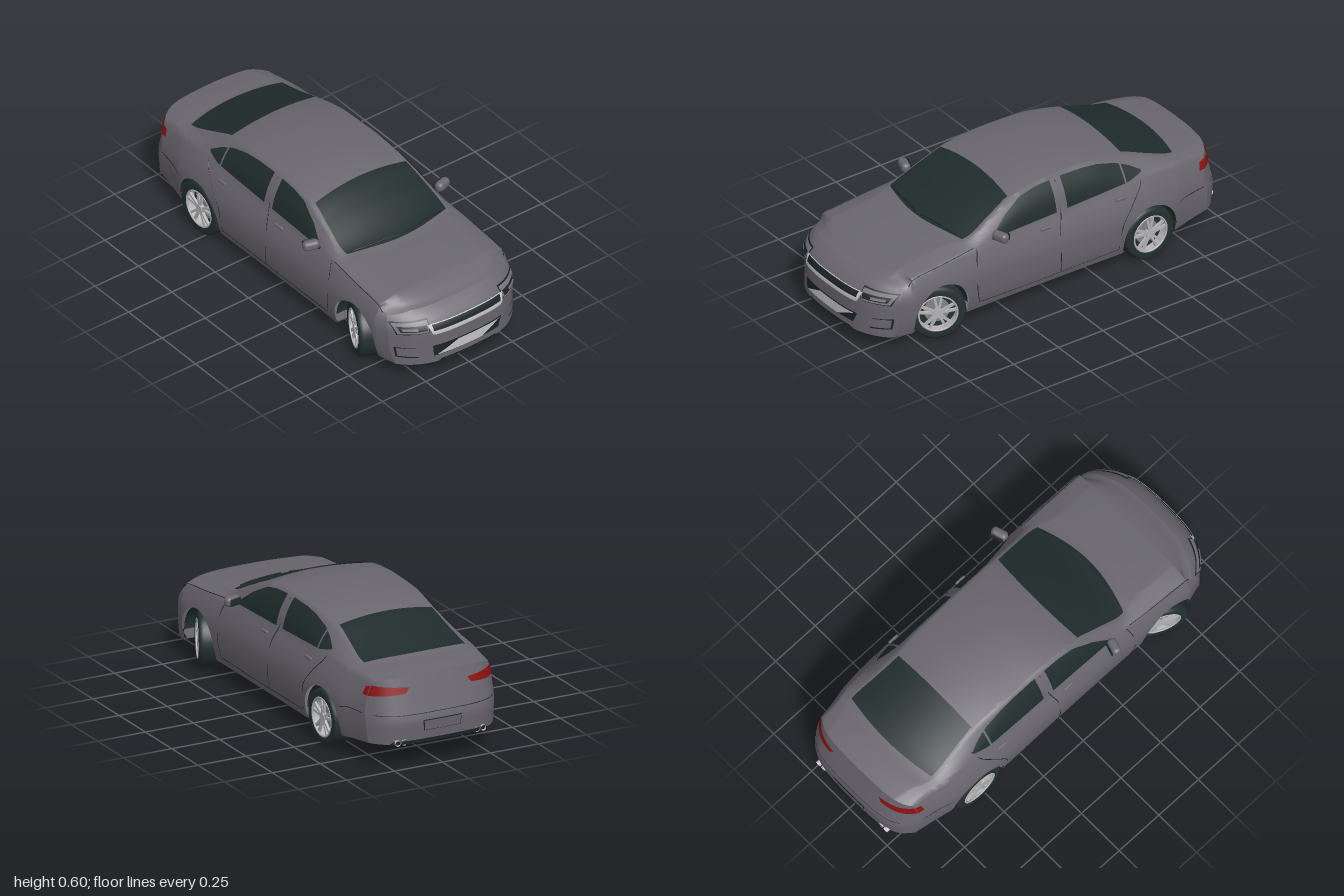
import * as THREE from 'three';
import { mergeGeometries, mergeVertices, toCreasedNormals } from 'three/addons/utils/BufferGeometryUtils.js';
import { RoundedBoxGeometry } from 'three/addons/geometries/RoundedBoxGeometry.js';

const V = (x, y, z) => new THREE.Vector3(x, y, z);
const lerp = THREE.MathUtils.lerp;
const mat = (name, color) => Object.assign(new THREE.MeshStandardMaterial({ color, side: THREE.DoubleSide }), { name });
const paint = mat('body paint', 0x69666e), glass = mat('tinted glass', 0x1f2c2b), rubber = mat('rubber', 0x23302f);
const chrome = mat('bright trim', 0xc4c4c6), alloy = mat('alloy', 0xb4b4b6), red = mat('tail light red', 0x8c1012);
const trim = mat('dark trim', 0x1c2425), metal = mat('underbody metal', 0x85848a), lens = mat('lamp lens', 0x77767d);

// Body stations: position, half width, belt y, belt x, roof rail y, rail x, centre top y
const ST = [
  [1, .36, .318, .345, .337, .25, .342], [.9, .375, .338, .35, .362, .26, .368], [.79, .385, .358, .352, .383, .26, .389],
  [.6, .387, .378, .35, .408, .26, .416], [.52, .386, .388, .347, .415, .27, .426], [.44, .384, .396, .343, .42, .3, .452],
  [.3, .382, .402, .34, .487, .288, .517], [.17, .382, .405, .337, .545, .272, .567], [0, .382, .408, .335, .57, .265, .597],
  [-.15, .383, .411, .335, .572, .262, .6], [-.3, .385, .415, .335, .563, .26, .588], [-.46, .386, .42, .335, .53, .253, .558],
  [-.6, .38, .424, .328, .478, .265, .512], [-.7, .37, .424, .318, .445, .275, .478], [-.78, .362, .424, .31, .436, .27, .453],
  [-.88, .35, .42, .3, .435, .24, .445], [-1, .335, .405, .3, .425, .22, .432]];
const AXLES = [.636, -.535], ARCH = .15, HUB = .135;

function station(s) {
  let i = 0;
  while (i < ST.length - 2 && s < ST[i + 1][0]) i++;
  const h = ST[i + 1][0] - ST[i][0], t = (s - ST[i][0]) / h;
  const slope = (k, c) => {
    const a = ST[Math.max(k - 1, 0)], b = ST[Math.min(k + 1, ST.length - 1)];
    return (b[c] - a[c]) / (b[0] - a[0]);
  };
  const [w, yb, wb, yr, wr, yt] = [1, 2, 3, 4, 5, 6].map(c =>
    (2 * t ** 3 - 3 * t * t + 1) * ST[i][c] + (t ** 3 - 2 * t * t + t) * h * slope(i, c) +
    (3 * t * t - 2 * t ** 3) * ST[i + 1][c] + (t ** 3 - t * t) * h * slope(i + 1, c));
  return { w, yb, wb, yr, wr, yt };
}
// Half width of the body at a station and height, below or above the belt line
function bodyX(s, y) {
  const p = station(s);
  if (y > p.yb) {
    const t = Math.min(1, (y - p.yb) / (p.yr - p.yb));
    return lerp(p.wb, p.wr, t) + .012 * Math.sin(Math.PI * t) * Math.min(1, (p.yr - p.yb) / .15);
  }
  if (y > .25) return p.w - (p.w - p.wb) * ((y - .25) / (p.yb - .25)) ** 1.7;
  return p.w * (1 - .06 * ((.25 - y) / .17) ** 2.5);
}
function topY(s, x) {
  const p = station(s);
  return p.yr + (p.yt - p.yr) * (1 - (x / p.wr) ** 2);
}
// The ends are bowed in plan and leaned in profile
function bodyZ(s, x, y) {
  if (s > .79) {
    const q = Math.abs(x) / .36, l = THREE.MathUtils.clamp((y - .24) / .105, 0, 1);
    return s - (s - .79) / .21 * (.03 * q * q + .11 * q ** 4 + .09 * l * l);
  }
  if (s < -.7) {
    const q = Math.abs(x) / .33, l = y > .22 ? (y - .22) * .26 : (.22 - y) * .1;
    return s + (-.7 - s) / .3 * (.02 * q * q + .09 * q ** 6 + l);
  }
  return s;
}
function lowY(s) {
  for (const c of AXLES) if (Math.abs(s - c) <= ARCH + 1e-6) return HUB + Math.sqrt(Math.max(0, ARCH ** 2 - (s - c) ** 2));
  return s > .7 ? .075 : s < -.6 ? .085 + (-.6 - s) * .075 : .08;
}
function halfRing(s) {
  const p = station(s), y0 = lowY(s), pts = [];
  for (let i = 0; i <= 12; i++) { const y = lerp(y0, p.yb, i / 12); pts.push([bodyX(s, y), y]); }
  for (let i = 1; i <= 7; i++) { const y = lerp(p.yb, p.yr, i / 7); pts.push([bodyX(s, y + 1e-7), y]); }
  for (let i = 1; i <= 12; i++) { const x = p.wr * Math.cos(i / 12 * Math.PI / 2); pts.push([x, topY(s, x)]); }
  return pts;
}
// Grid surface from a function of u and v
function patch(fn, nu, nv) {
  const pos = [], idx = [];
  for (let j = 0; j <= nv; j++) for (let i = 0; i <= nu; i++) pos.push(...fn(i / nu, j / nv).toArray());
  for (let j = 0; j < nv; j++) for (let i = 0; i < nu; i++) {
    const a = j * (nu + 1) + i, b = a + nu + 1;
    idx.push(a, a + 1, b, b, a + 1, b + 1);
  }
  const g = new THREE.BufferGeometry();
  g.setAttribute('position', new THREE.Float32BufferAttribute(pos, 3));
  g.setIndex(idx);
  g.computeVertexNormals();
  return g;
}
function bodyGeometry() {
  const stops = [];
  for (let i = 0; i <= 80; i++) { const s = 1 - i / 40; if (AXLES.every(c => Math.abs(s - c) > ARCH + .002)) stops.push(s); }
  for (const c of AXLES) {
    stops.push(c + ARCH + .0005, c - ARCH - .0005);
    for (let i = 0; i <= 24; i++) stops.push(c + ARCH * Math.cos(i / 24 * Math.PI));
  }
  stops.sort((a, b) => b - a);
  const rings = stops.map(halfRing), n = rings[0].length - 1;
  const shell = patch((u, v) => {
    const i = Math.round(v * (stops.length - 1)), k = Math.round(u * 2 * n), sx = k <= n ? 1 : -1;
    const [x, y] = rings[i][k <= n ? k : 2 * n - k];
    return V(sx * x, y, bodyZ(stops[i], x, y));
  }, 2 * n, stops.length - 1);
  const cap = (s, dir) => patch((u, v) => {
    const [rx, y] = halfRing(s)[Math.round(v * n)], x = rx * (2 * u - 1) * dir;
    return V(x, y, bodyZ(s, x, y));
  }, 36, n);
  const g = mergeGeometries([shell, cap(1, 1), cap(-1, -1)]);
  g.deleteAttribute('normal');
  return toCreasedNormals(mergeVertices(g, 1e-4), 1);
}

export function createModel() {
  const car = new THREE.Group();
  car.name = 'saloon car';
  const add = (name, geo, m, x = 0, y = 0, z = 0, parent = car) => {
    const o = new THREE.Mesh(geo, m);
    o.name = name; o.position.set(x, y, z); parent.add(o);
    return o;
  };
  add('bodyShell', bodyGeometry(), paint);

  // Windscreen and rear window
  const screen = (zb, bowB, zt, bowT) => patch((u, v) => {
    const a = 2 * u - 1, z = lerp(zb + bowB * a * a, zt + bowT * a * a, v), x = a * (station(z).wr - .012);
    return V(x, topY(z, x) + .005, z);
  }, 24, 20);
  add('windscreen', screen(.515, -.055, .175, .015), glass);
  add('rearWindow', screen(-.765, .03, -.46, 0), glass);

  // Front and rear details laid on the end faces; q is four corners [x, y]
  const onEnd = (name, q, m, off, end = 1, sides = [1, -1]) => sides.forEach(sx => add(name, patch((u, v) => {
    const c = k => lerp(lerp(q[0][k], q[1][k], u), lerp(q[3][k], q[2][k], u), v);
    const y = c(1), x = Math.min(c(0), bodyX(end, y) + .002);
    return V(sx * x, y, bodyZ(end, x, y) + end * off);
  }, 20, 6), m));
  onEnd('grille', [[-.2, .253], [.2, .253], [.195, .286], [-.195, .286]], trim, .005, 1, [1]);
  onEnd('grilleBar', [[-.19, .234], [.19, .234], [.205, .254], [-.205, .254]], chrome, .008, 1, [1]);
  onEnd('grilleEnd', [[.19, .237], [.2, .24], [.215, .286], [.195, .283]], chrome, .008);
  onEnd('grilleTopEdge', [[-.2, .283], [.2, .283], [.2, .287], [-.2, .287]], chrome, .007, 1, [1]);
  onEnd('headlightSurround', [[.212, .25], [.338, .244], [.352, .3], [.2, .31]], trim, .005);
  onEnd('headlightLens', [[.216, .254], [.335, .249], [.348, .296], [.207, .305]], lens, .008);
  onEnd('headlightInsert', [[.222, .263], [.325, .259], [.335, .284], [.216, .288]], trim, .011);
  onEnd('headlightLamp', [[.262, .267], [.32, .265], [.322, .277], [.26, .279]], lens, .014);
  onEnd('lowerIntake', [[-.192, .114], [.175, .118], [.197, .171], [-.197, .171]], trim, .005, 1, [1]);
  onEnd('intakePlate', [[-.18, .119], [.07, .119], [.18, .167], [-.065, .167]], chrome, .008, 1, [1]);
  onEnd('cornerIntakeBase', [[.262, .115], [.338, .12], [.34, .126], [.26, .122]], trim, .006);
  onEnd('cornerIntakeSide', [[.335, .12], [.341, .12], [.347, .175], [.34, .175]], trim, .006);
  onEnd('cornerIntakeTop', [[.27, .167], [.342, .17], [.344, .174], [.27, .17]], trim, .006);
  onEnd('lipSlot', [[-.17, .08], [.17, .08], [.15, .09], [-.15, .09]], trim, .005, 1, [1]);
  onEnd('tailLight', [[.17, .352], [.35, .338], [.35, .393], [.15, .378]], red, .005, -1);
  onEnd('rearLowerBand', [[-.26, .113], [.26, .113], [.24, .13], [-.24, .13]], trim, .005, -1, [1]);
  onEnd('bumperSeam', [[-.31, .252], [.31, .252], [.31, .255], [-.31, .255]], trim, .004, -1, [1]);
  onEnd('plateRecessEdge', [[-.095, .17], [.095, .17], [.1, .222], [-.1, .222]], trim, .004, -1, [1]);
  onEnd('plateRecess', [[-.091, .173], [.091, .173], [.096, .219], [-.096, .219]], paint, .007, -1, [1]);

  // Side window outline as curves of height along z
  const along = (pts, z) => {
    let i = 0;
    while (i < pts.length - 2 && z < pts[i + 1][0]) i++;
    return lerp(pts[i][1], pts[i + 1][1], (z - pts[i][0]) / (pts[i + 1][0] - pts[i][0]));
  };
  const head = [[.33, .412], [.24, .483], [.14, .537], [.06, .552], [0, .557], [-.1, .56], [-.22, .556], [-.3, .547], [-.4, .52], [-.47, .489], [-.525, .455]];
  const foot = [[.33, .406], [0, .413], [-.44, .43], [-.525, .45]];
  const wheelTyre = new THREE.LatheGeometry([[.093, -.045], [.12, -.048], [.131, -.04], [.135, -.025], [.135, .025], [.131, .04], [.12, .048], [.093, .045]]
    .map(p => new THREE.Vector2(...p)), 40).rotateZ(-Math.PI / 2);
  const drum = (r, w, open = false) => new THREE.CylinderGeometry(r, r, w, 32, 1, open).rotateZ(Math.PI / 2);
  const tube = (pts, r, n = 24) => new THREE.TubeGeometry(new THREE.CatmullRomCurve3(pts), n, r, 8);

  for (const sx of [1, -1]) {
    // Side glass
    for (const [name, z0, z1] of [['frontDoorWindow', .33, -.035], ['rearDoorWindow', -.095, -.42], ['quarterWindow', -.43, -.522]])
      add(name, patch((u, v) => {
        const z = lerp(z0, z1, u), y = lerp(along(foot, z), Math.min(along(head, z), station(z).yr - .006), v);
        return V(sx * (bodyX(z, y) + .004), y, z);
      }, 24, 8), glass);
    // Tail light wrapping on to the flank
    add('tailLightSide', patch((u, v) => {
      const s = lerp(-1, -.955, u), y = lerp(.34, .388 - u * .01, v), x = bodyX(s, y);
      return V(sx * (x + .004), y, bodyZ(s, x, y));
    }, 6, 6), red);
    // Shut lines
    const seam = (name, pts) => add(name, tube(pts.map(([z, y]) => { const x = bodyX(z, y); return V(sx * x, y, bodyZ(z, x, y)); }), .0018), trim);
    seam('frontDoorSeam', [[.42, .39], [.435, .33], [.44, .2], [.425, .12]]);
    seam('middleDoorSeam', [[-.065, .55], [-.06, .42], [-.035, .33], [-.03, .2], [-.035, .12]]);
    seam('rearDoorSeam', [[-.525, .46], [-.5, .4], [-.43, .32], [-.375, .24], [-.36, .12]]);
    seam('sillSeam', [[.42, .115], [.2, .11], [0, .11], [-.36, .115]]);
    seam('bumperSideSeam', [[-.69, .235], [-.8, .25], [-.98, .253]]);
    seam('bonnetSeam', [[.44, .395], [.6, .377], [.8, .352], [.94, .325]]);
    for (const [z, y] of [[.04, .365], [-.38, .372]])
      add('doorHandle', new RoundedBoxGeometry(.014, .014, .055, 2, .005), paint, sx * (bodyX(z, y) + .002), y, z);

    // Door mirror
    add('mirrorHousing', new RoundedBoxGeometry(.082, .048, .045, 4, .02), paint, sx * .379, .43, .31).rotation.y = sx * .3;
    add('mirrorGlass', new RoundedBoxGeometry(.066, .034, .006, 2, .002), glass, sx * .373, .43, .286).rotation.y = sx * .3;
    add('mirrorArm', tube([V(sx * .33, .404, .32), V(sx * .345, .408, .32), V(sx * .365, .418, .315)], .008, 8), trim);

    // Wheels, arches and suspension
    AXLES.forEach((z, k) => {
      const liner = new THREE.CylinderGeometry(ARCH, ARCH, .165, 24, 1, true, 0, Math.PI).rotateZ(Math.PI / 2);
      add('archLiner', liner, rubber, sx * .285, HUB, z);
      add('archInnerWall', new THREE.CircleGeometry(ARCH, 24, 0, Math.PI).rotateY(Math.PI / 2), rubber, sx * .203, HUB, z);
      const wheel = new THREE.Group();
      wheel.name = k ? 'rearWheel' : 'frontWheel';
      wheel.position.set(sx * .33, HUB, z);
      wheel.rotation.y = (sx < 0 ? Math.PI : 0) - (k ? 0 : .42);
      car.add(wheel);
      const part = (n, g, m, x = 0) => add(n, g, m, x, 0, 0, wheel);
      part('tyre', wheelTyre, rubber);
      part('rimBarrel', drum(.094, .088, true), alloy);
      part('rimLip', new THREE.TorusGeometry(.091, .005, 8, 40).rotateY(Math.PI / 2), alloy, .043);
      part('rimBack', drum(.092, .008), rubber, -.005);
      part('brakeDisc', drum(.06, .008), metal, .008);
      part('hub', drum(.022, .02), alloy, .035);
      for (let i = 0; i < 10; i++) {
        const spoke = new THREE.BoxGeometry(.012, .078, .012).translate(0, .052, 0);
        part('spoke', spoke, alloy, .036).rotation.x = (i >> 1) * Math.PI * .4 + (i % 2 ? .19 : -.19);
      }
      add('axleArm', tube([V(sx * .05, .12, z), V(sx * .2, .125, z + .01), V(sx * .32, HUB, z)], .016), metal);
      add('linkArm', tube([V(sx * .15, .095, z - .12), V(sx * .22, .1, z - .06), V(sx * .29, .11, z)], .011), metal);
    });

    // Exhaust tips and wipers
    const tip = new THREE.CylinderGeometry(.014, .014, .06, 16, 1, true).rotateX(Math.PI / 2);
    for (const dx of [.19, .222]) add('exhaustTip', tip, chrome, sx * dx, .123, -.955);
    add('wiper', tube([.02, .1, .19, .25].map((x, i) => {
      const z = .505 - i * .013, px = sx * x;
      return V(px, topY(z, px) + .01, z);
    }), .003), trim);
  }

  // Underbody plates from mirrored half outlines [x, z]
  const plate = (name, half, y, m) => {
    const all = [...half, ...half.slice().reverse().map(([x, z]) => [-x, z])].map(([x, z]) => new THREE.Vector2(x, -z));
    add(name, new THREE.ExtrudeGeometry(new THREE.Shape(all), { depth: .008, bevelEnabled: false }).rotateX(-Math.PI / 2), m, 0, y, 0);
  };
  plate('floor', [[.18, .965], [.28, .925], [.33, .86], [.35, .79], [.2, .785], [.2, .485], [.358, .485], [.358, -.384], [.2, -.384], [.2, -.68]], .085, paint);
  plate('rearFloor', [[.2, -.66], [.2, -.686], [.33, -.686], [.3, -.88], [.25, -.93], [.15, -.96]], .112, rubber);
  plate('tunnel', [[.06, .45], [.06, -.4]], .082, trim);

  // Exhaust system
  for (const x of [-.02, .02])
    add('exhaustPipe', tube([V(x, .085, .5), V(x, .082, .1), V(x * 1.2, .082, -.35), V(x * 3, .095, -.6), V(x * 7, .105, -.72)], .011, 40), metal);
  for (const x of [-.17, .17]) add('silencer', new RoundedBoxGeometry(.11, .035, .12, 3, .015), metal, x, .108, -.77);
  add('rearCrossMember', new RoundedBoxGeometry(.38, .025, .05, 2, .01), metal, 0, .09, -.5);
  add('frontCrossMember', new RoundedBoxGeometry(.36, .02, .06, 2, .009), metal, 0, .085, .6);
  return car;
}
